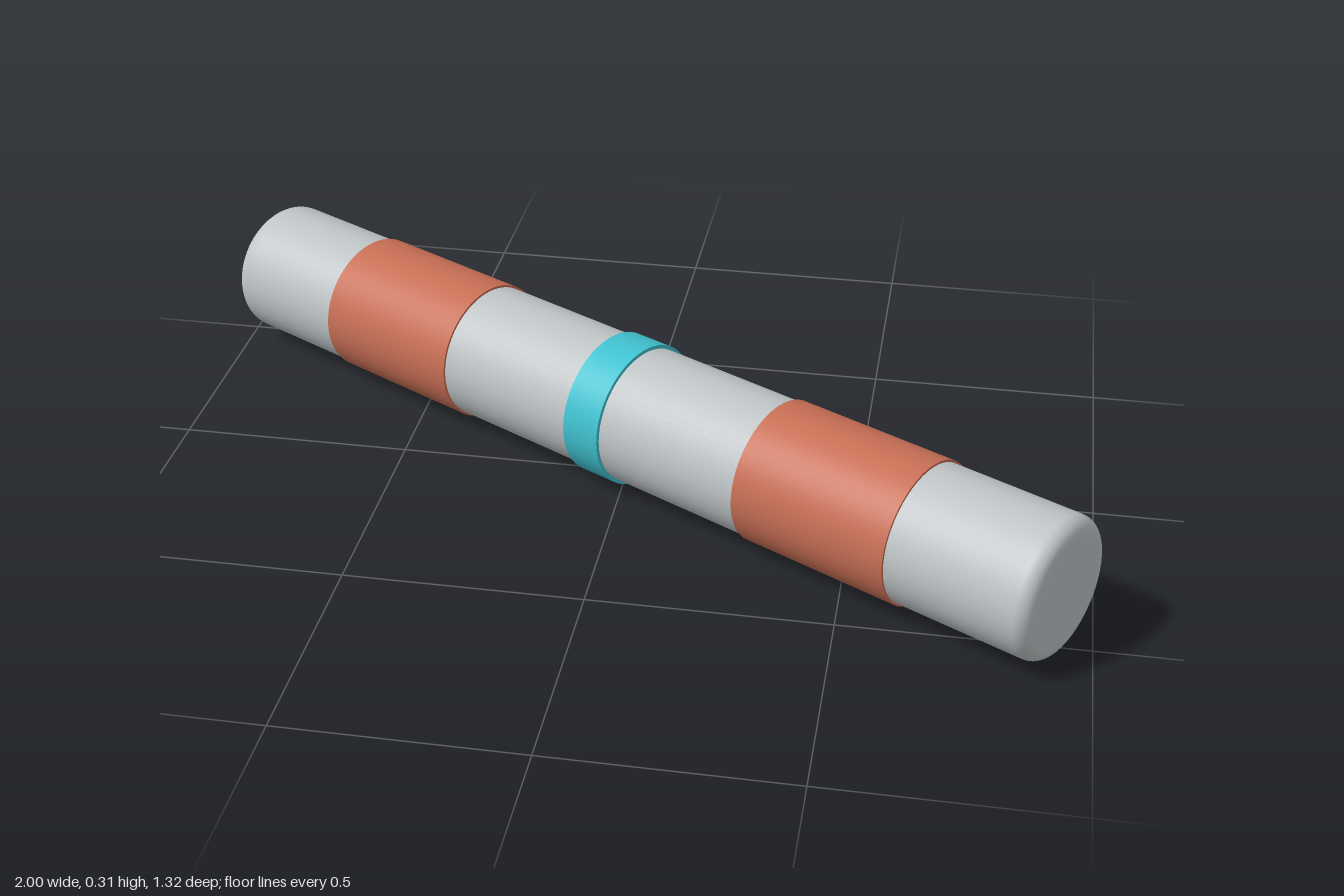
import * as THREE from 'three';

const SEGMENTS = 64;
const BODY_RADIUS = 0.149;
const HALF_LENGTH = 1.082;
const FILLET = 0.03;

function material(name, color) {
  const m = new THREE.MeshStandardMaterial({ color });
  m.name = name;
  return m;
}

// Half profile of the rod: flat end, rounded rim, straight wall, mirrored
function rodProfile() {
  const flat = BODY_RADIUS - FILLET;
  const upper = [new THREE.Vector2(BODY_RADIUS, HALF_LENGTH - FILLET - 0.005)];
  for (let i = 0; i <= 8; i++) {
    const a = (i / 8) * Math.PI / 2;
    upper.push(new THREE.Vector2(
      flat + FILLET * Math.cos(a),
      HALF_LENGTH - FILLET + FILLET * Math.sin(a)
    ));
  }
  upper.push(new THREE.Vector2(flat - 0.005, HALF_LENGTH), new THREE.Vector2(0, HALF_LENGTH));
  const lower = upper.map((p) => new THREE.Vector2(p.x, -p.y)).reverse();
  return [...lower, ...upper];
}

export function createModel() {
  const model = new THREE.Group();
  model.name = 'bandedRod';

  const grey = material('lightGrey', 0xbfc4c6);
  const copper = material('copper', 0xc86f55);
  const teal = material('teal', 0x40c2d0);

  // Everything is built along y, then laid down along x
  const rod = new THREE.Group();
  rod.name = 'rod';
  const add = (name, geometry, mat, along = 0) => {
    geometry.rotateZ(-Math.PI / 2);
    const mesh = new THREE.Mesh(geometry, mat);
    mesh.name = name;
    mesh.position.x = along;
    rod.add(mesh);
  };
  const band = (radius, width) => new THREE.CylinderGeometry(radius, radius, width, SEGMENTS);

  add('body', new THREE.LatheGeometry(rodProfile(), SEGMENTS), grey);

  // Grip sleeves on both halves
  for (const [name, side] of [['leftGrip', 1], ['rightGrip', -1]]) {
    add(name, band(0.154, 0.366), copper, side * 0.582);
  }

  // Raised ring in the middle
  add('centreRing', band(0.157, 0.092), teal);

  // Diagonal pose, resting on the ground
  rod.rotation.y = -Math.PI / 6;
  rod.position.y = 0.157;
  model.add(rod);
  return model;
}
